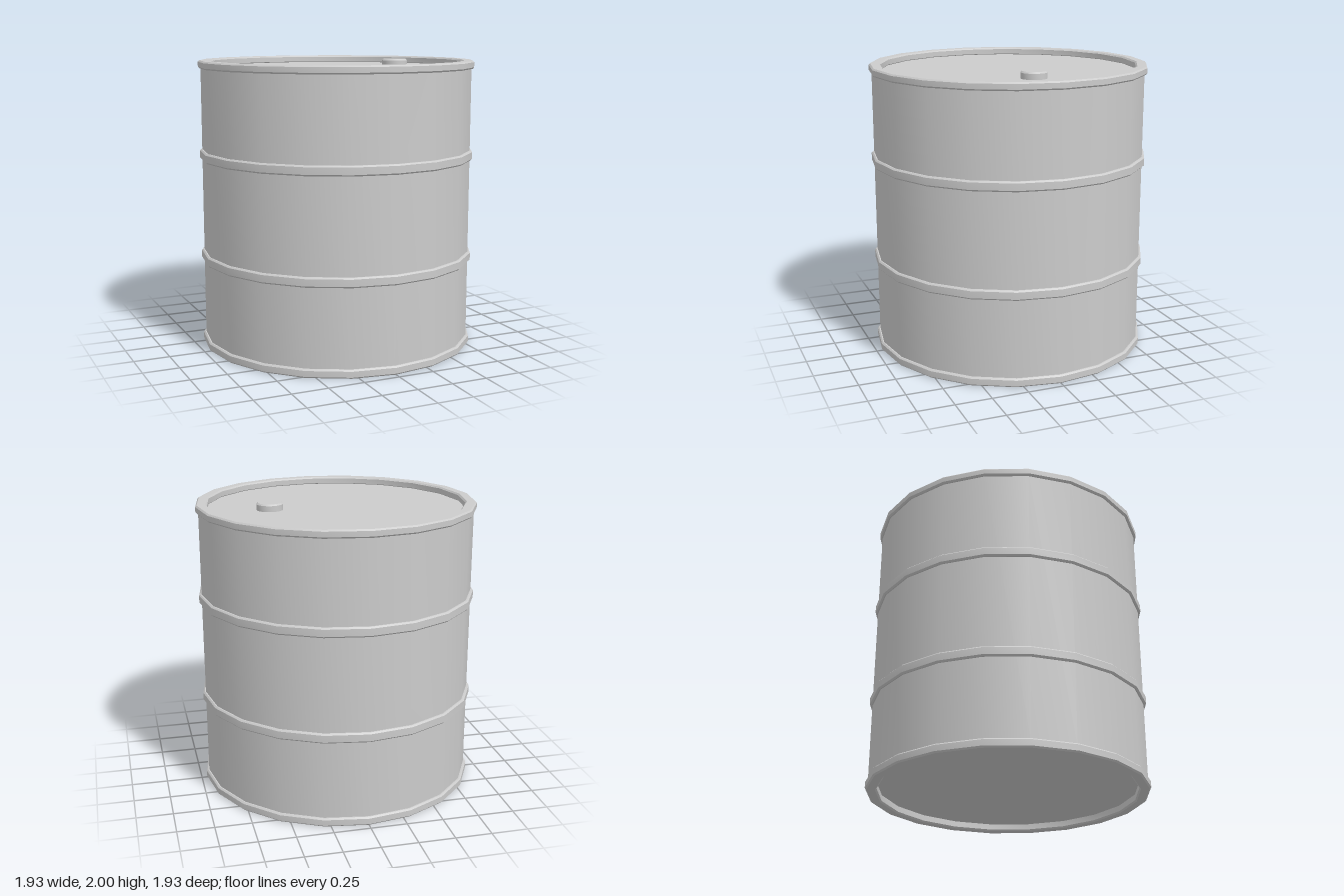
import * as THREE from 'three';
import { toCreasedNormals } from 'three/addons/utils/BufferGeometryUtils.js';

const SIDES = 20;
const WALL = 0.945;   // drum wall radius
const OUTER = 0.963;  // radius of rims and hoops
const INNER = 0.885;  // inside radius of the rims
const RECESS = 0.05;  // depth of the sunken ends

export function createModel() {
  const group = new THREE.Group();
  const material = new THREE.MeshStandardMaterial({ color: 0xcccccc });

  // Turned part: smooth around, sharp across the profile's corners
  const turned = (name, profile, sides = SIDES) => {
    const points = profile.map(([r, y]) => new THREE.Vector2(r, y));
    const geometry = toCreasedNormals(new THREE.LatheGeometry(points, sides), 0.5);
    const mesh = new THREE.Mesh(geometry, material);
    mesh.name = name;
    group.add(mesh);
    return mesh;
  };

  // Bevelled ring, profile running counter-clockwise from the inner bottom corner
  const ring = (name, inner, y0, y1, b = 0.01) => turned(name, [
    [inner, y0 + b], [inner + b, y0], [OUTER - b, y0], [OUTER, y0 + b],
    [OUTER, y1 - b], [OUTER - b, y1], [inner + b, y1], [inner, y1 - b], [inner, y0 + b],
  ]);

  // Drum wall with sunken bottom and lid
  turned('wall', [[WALL, 0.03], [WALL, 1.97]]);
  turned('bottom', [[0, RECESS], [INNER + 0.02, RECESS]].reverse().map(([r, y]) => [r, y]).reverse());
  turned('lid', [[INNER + 0.02, 2 - RECESS], [0, 2 - RECESS]]);

  // End rims and the two rolling hoops
  ring('bottomRim', INNER, 0, 0.06);
  ring('topRim', INNER, 1.945, 2);
  ring('lowerHoop', 0.9, 0.6, 0.668);
  ring('upperHoop', 0.9, 1.315, 1.383);

  // Filler cap on the lid
  const cap = turned('fillerCap', [
    [0.09, 0], [0.09, 0.04], [0.08, 0.05], [0, 0.05],
  ], 24);
  cap.position.set(0.46, 2 - RECESS, 0);

  return group;
}
